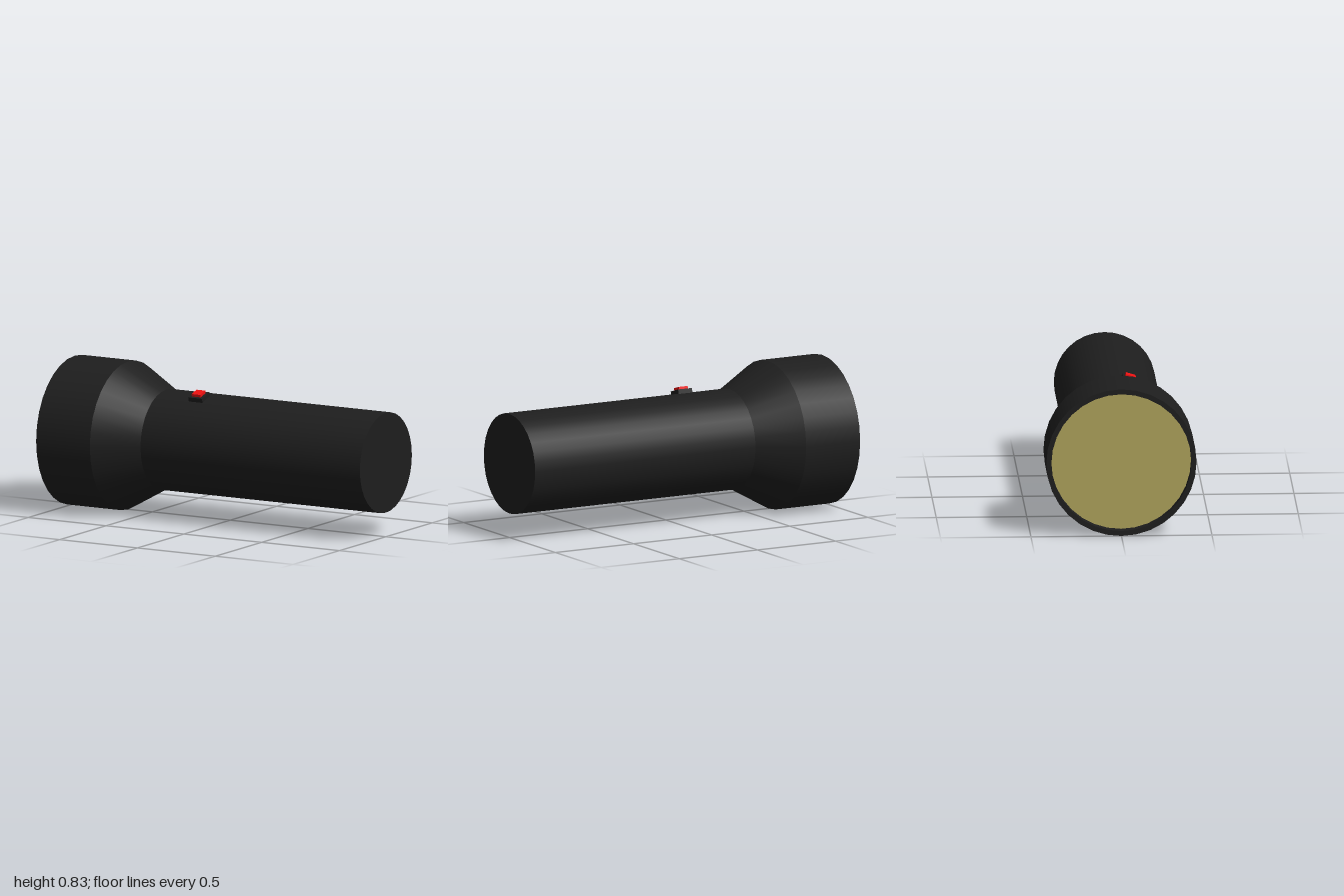
import * as THREE from 'three';

const SIDES = 32;
const AXIS_Y = 0.415;
const HEAD_R = 0.415, BODY_R = 0.28, LENS_R = 0.387;

export function createModel() {
  const model = new THREE.Group();
  model.name = 'flashlight';

  const black = new THREE.MeshStandardMaterial({ color: 0x1e1e1e });
  const blackInside = new THREE.MeshStandardMaterial({ color: 0x1e1e1e, side: THREE.BackSide });
  const yellow = new THREE.MeshStandardMaterial({ color: 0xb0a45c });
  const red = new THREE.MeshStandardMaterial({ color: 0xee1111 });

  function add(parent, name, geometry, material) {
    const mesh = new THREE.Mesh(geometry, material);
    mesh.name = name;
    parent.add(mesh);
    return mesh;
  }

  // Open tube along x, from x0 (radius r0) to x1 (radius r1)
  function tube(name, x0, x1, r0, r1, material = black) {
    const geometry = new THREE.CylinderGeometry(r0, r1, x1 - x0, SIDES, 1, true);
    geometry.rotateZ(Math.PI / 2);
    add(model, name, geometry, material).position.set((x0 + x1) / 2, AXIS_Y, 0);
  }

  // Flat disc or ring across the axis, facing +x (dir 1) or -x (dir -1)
  function disc(name, x, dir, geometry, material) {
    geometry.rotateY(dir * Math.PI / 2);
    add(model, name, geometry, material).position.set(x, AXIS_Y, 0);
  }

  // Head, taper and handle
  tube('head', -1, -0.655, HEAD_R, HEAD_R);
  tube('taper', -0.655, -0.41, HEAD_R, BODY_R);
  tube('handle', -0.41, 1, BODY_R, BODY_R);
  disc('endCap', 1, 1, new THREE.CircleGeometry(BODY_R, SIDES), black);

  // Rim with recessed lens
  disc('rim', -1, -1, new THREE.RingGeometry(LENS_R, HEAD_R, SIDES), black);
  tube('rimInside', -1, -0.945, LENS_R, LENS_R, blackInside);
  disc('lens', -0.945, -1, new THREE.CircleGeometry(LENS_R, SIDES), yellow);

  // Switch, turned around the handle toward the front
  const switchGroup = new THREE.Group();
  switchGroup.name = 'switch';
  switchGroup.position.set(-0.15, AXIS_Y, 0);
  switchGroup.rotation.x = 0.295;
  add(switchGroup, 'switchBase', new THREE.BoxGeometry(0.088, 0.03, 0.085), black).position.y = 0.286;
  add(switchGroup, 'switchButton', new THREE.BoxGeometry(0.056, 0.03, 0.056), red).position.y = 0.301;
  model.add(switchGroup);

  return model;
}
